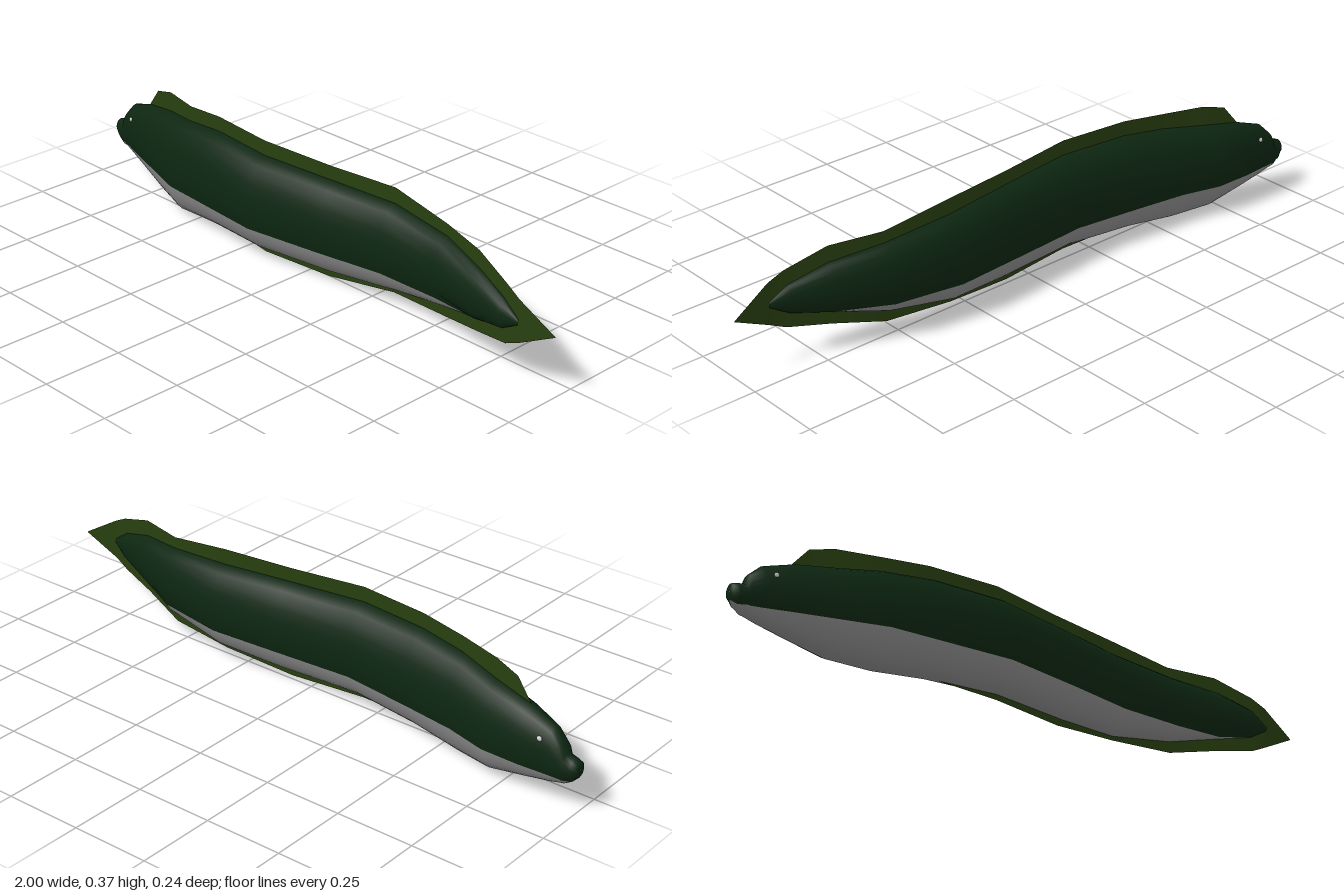
import * as THREE from 'three';

// Body stations: x, top y, bottom y, centre z, half width
const BODY = [
  [-1, 0.141, 0.139, -0.085, 0.001],
  [-1, 0.163, 0.115, -0.085, 0.02],
  [-0.982, 0.169, 0.096, -0.085, 0.028],
  [-0.958, 0.174, 0.082, -0.084, 0.034],
  [-0.95, 0.205, 0.08, -0.084, 0.035],
  [-0.912, 0.242, 0.068, -0.079, 0.042],
  [-0.82, 0.272, 0.046, -0.066, 0.061],
  [-0.7, 0.292, 0.016, -0.046, 0.078],
  [-0.57, 0.31, 0.004, -0.008, 0.083],
  [-0.4, 0.33, 0.022, 0.011, 0.084],
  [-0.17, 0.33, 0.03, 0.035, 0.083],
  [0.1, 0.325, 0.035, 0.007, 0.077],
  [0.32, 0.32, 0.05, -0.018, 0.071],
  [0.54, 0.3, 0.085, 0, 0.06],
  [0.7, 0.278, 0.122, 0.047, 0.045],
  [0.82, 0.24, 0.15, 0.077, 0.026],
  [0.88, 0.2, 0.185, 0.086, 0.004],
];

// Fin stations: x, upper edge y, lower edge y (the lower edge starts hidden inside the body)
const FIN = [
  [-0.83, 0.262, 0.2], [-0.77, 0.335, 0.2], [-0.69, 0.357, 0.2], [-0.55, 0.362, 0.15],
  [-0.4, 0.378, 0.025], [-0.17, 0.378, 0.012], [0.08, 0.37, 0.01], [0.32, 0.37, 0.036],
  [0.54, 0.337, 0.048], [0.7, 0.33, 0.082], [0.83, 0.287, 0.107], [0.88, 0.262, 0.13], [1, 0.192, 0.19],
];

// Linear interpolation of one station column at x
function at(x, col) {
  for (let i = 1; i < BODY.length; i++) {
    const a = BODY[i - 1], b = BODY[i];
    if (x <= b[0]) return a[col] + (b[col] - a[col]) * (x - a[0]) / Math.max(b[0] - a[0], 1e-6);
  }
  return 0.077;
}

function makeGeometry(positions, index) {
  const g = new THREE.BufferGeometry();
  g.setAttribute('position', new THREE.Float32BufferAttribute(positions, 3));
  g.setIndex(index);
  g.computeVertexNormals();
  return g;
}

// Lofted ellipses; each ring is divided where the back colour meets the belly
function bodyGeometry() {
  const BACK = 16, N = 28, pos = [], back = [], belly = [];
  for (const [x, top, bottom, z, w] of BODY) {
    const y = (top + bottom) / 2, h = (top - bottom) / 2;
    const seam = 0.115 + 0.014 * x;
    const s = Math.asin(THREE.MathUtils.clamp((seam - y) / h, -1, 1));
    for (let j = 0; j < N; j++) {
      const t = j < BACK
        ? s + (Math.PI - 2 * s) * j / BACK
        : Math.PI - s + (Math.PI + 2 * s) * (j - BACK) / (N - BACK);
      pos.push(x, y + h * Math.sin(t), z + w * Math.cos(t));
    }
  }
  for (let i = 0; i < BODY.length - 1; i++) {
    for (let j = 0; j < N; j++) {
      const k = (j + 1) % N, a = i * N + j, b = a + N, c = i * N + k, d = c + N;
      (j < BACK ? back : belly).push(a, b, c, b, d, c);
    }
  }
  const g = makeGeometry(pos, [...back, ...belly]);
  g.addGroup(0, back.length, 0);
  g.addGroup(back.length, belly.length, 1);
  return g;
}

// One thin sheet along the spine: dorsal fin, tail and anal fin together
function finGeometry() {
  const pos = [], index = [];
  FIN.forEach(([x, hi, lo], i) => {
    const z = at(x, 3);
    pos.push(x, lo, z, x, hi, z);
    if (i) {
      const a = 2 * i - 2;
      index.push(a, a + 2, a + 1, a + 2, a + 3, a + 1);
    }
  });
  return makeGeometry(pos, index);
}

export function createModel() {
  const mat = (name, color, side = THREE.FrontSide) => {
    const m = new THREE.MeshStandardMaterial({ color, side });
    m.name = name;
    return m;
  };
  const backMat = mat('darkGreenBack', 0x0d2611);
  const bellyMat = mat('greyBelly', 0x8c8c8c);
  const finMat = mat('oliveFin', 0x284010, THREE.DoubleSide);
  const eyeMat = mat('paleEye', 0xd8d8d8);

  const group = new THREE.Group();
  group.name = 'eel';
  const add = (name, geometry, material) => {
    const mesh = new THREE.Mesh(geometry, material);
    mesh.name = name;
    group.add(mesh);
    return mesh;
  };

  add('body', bodyGeometry(), [backMat, bellyMat]);
  add('fin', finGeometry(), finMat);

  // Small flat eyes on both sides of the head
  const ex = -0.885, ey = 0.207;
  const cy = (at(ex, 1) + at(ex, 2)) / 2, h = (at(ex, 1) - at(ex, 2)) / 2;
  const reach = at(ex, 4) * Math.sqrt(1 - ((ey - cy) / h) ** 2);
  for (const side of [1, -1]) {
    const eye = add(side > 0 ? 'leftEye' : 'rightEye', new THREE.SphereGeometry(0.008, 12, 8), eyeMat);
    eye.scale.z = 0.5;
    eye.position.set(ex, ey, at(ex, 3) + side * reach);
  }
  return group;
}
